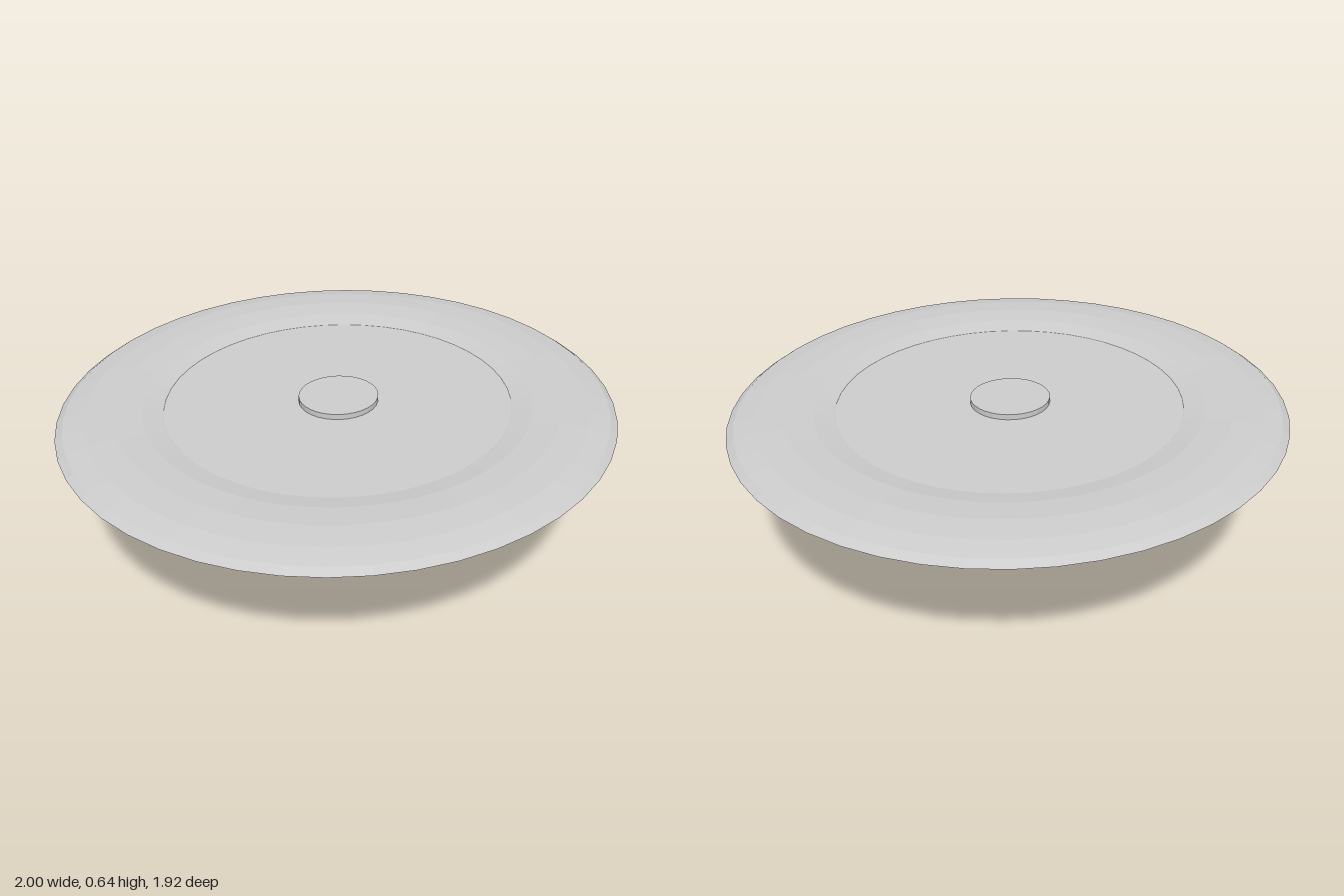
import * as THREE from 'three';

export function createModel() {
  const group = new THREE.Group();
  const material = new THREE.MeshStandardMaterial({ color: 0xcccccc, flatShading: true });
  const depth = 0.962; // the whole body is slightly oval
  const add = (name, geometry, y) => {
    const mesh = new THREE.Mesh(geometry, material);
    mesh.name = name;
    mesh.position.y = y;
    mesh.scale.z = depth;
    group.add(mesh);
  };

  // Flattened ring around the edge
  const rim = new THREE.TorusGeometry(0.8, 0.2, 12, 48);
  rim.rotateX(-Math.PI / 2);
  rim.scale(1, 0.1875, 1);
  add('rim', rim, 0.6);

  // Downward cone, its flat base closing the middle of the ring
  const capY = 0.618;
  const cone = new THREE.ConeGeometry(0.919, capY, 32);
  cone.rotateX(Math.PI);
  add('coneBody', cone, capY / 2);

  // Low round button in the centre
  add('centreButton', new THREE.CylinderGeometry(0.144, 0.144, 0.04, 32), 0.618);

  return group;
}
